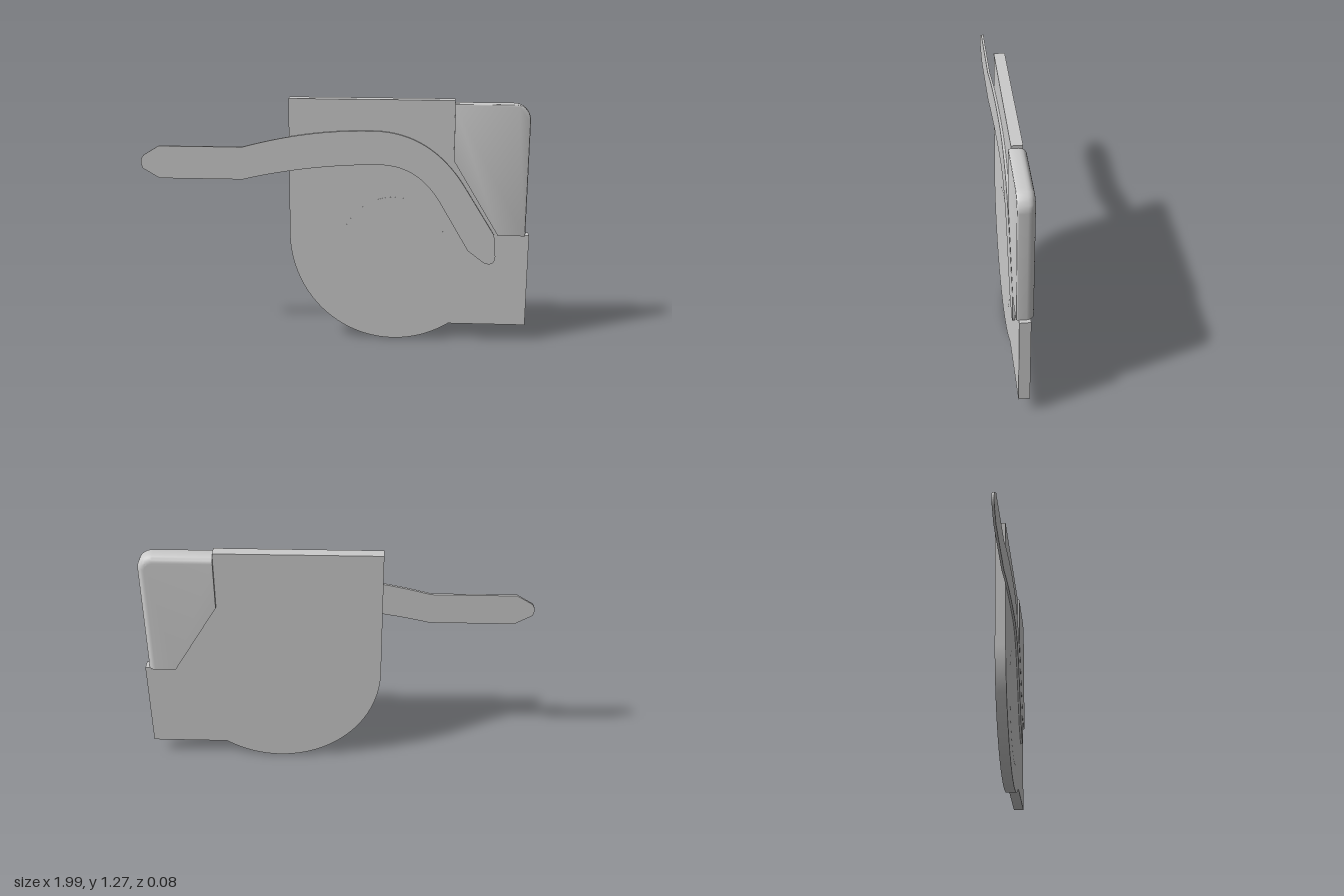
import * as THREE from 'three';
import { toCreasedNormals } from 'three/addons/utils/BufferGeometryUtils.js';
import { ConvexGeometry } from 'three/addons/geometries/ConvexGeometry.js';

const material = new THREE.MeshStandardMaterial({ color: 0xcccccc });

function addPart(group, name, geometry) {
  const mesh = new THREE.Mesh(toCreasedNormals(geometry, 0.6), material);
  mesh.name = name;
  group.add(mesh);
  return mesh;
}

// Flat plate of a given outline between two depths
function plate(shape, back, front) {
  const geometry = new THREE.ExtrudeGeometry(shape, {
    depth: front - back, bevelEnabled: false, curveSegments: 32,
  });
  return geometry.translate(0, 0, back);
}

// Housing: square top, round belly, notch for the corner cap
function housingShape() {
  const s = new THREE.Shape();
  s.moveTo(-0.23, 1.275);
  s.lineTo(-0.23, 0.57);
  s.absellipse(0.31, 0.57, 0.54, 0.57, Math.PI, Math.PI * 2 - 1.004, false, 0);
  s.lineTo(1, 0.09);
  s.lineTo(1, 0.58);
  s.lineTo(0.84, 0.58);
  s.lineTo(0.605, 0.97);
  s.lineTo(0.605, 1.275);
  s.closePath();
  return s;
}

// Strap: blunt tip, straight run, then an arch curling down to the right
function strapShape() {
  const s = new THREE.Shape();
  s.moveTo(-0.9, 0.855);
  s.lineTo(-0.47, 0.855);
  s.bezierCurveTo(-0.25, 0.91, 0.0, 0.94, 0.2, 0.942);
  s.bezierCurveTo(0.36, 0.95, 0.46, 0.88, 0.54, 0.75);
  s.lineTo(0.69, 0.495);
  s.lineTo(0.77, 0.434);
  s.bezierCurveTo(0.8, 0.415, 0.835, 0.425, 0.832, 0.47);
  s.lineTo(0.822, 0.58);
  s.lineTo(0.66, 0.84);
  s.bezierCurveTo(0.55, 1.01, 0.4, 1.115, 0.2, 1.116);
  s.bezierCurveTo(-0.05, 1.12, -0.27, 1.08, -0.47, 1.024);
  s.lineTo(-0.9, 1.024);
  s.lineTo(-0.98, 0.975);
  s.quadraticCurveTo(-1.005, 0.945, -0.985, 0.905);
  s.closePath();
  return s;
}

// Corner cap: top and right edges rounded over, more strongly at the back
function capGeometry() {
  const points = [];
  const section = (z, inset) => {
    points.push(
      new THREE.Vector3(0.605, 0.97, z),
      new THREE.Vector3(0.84, 0.58, z),
      new THREE.Vector3(0.98 - inset, 0.58, z),
      new THREE.Vector3(0.605, 1.26 - inset, z),
    );
    const r = 0.08 - inset;
    for (let i = 0; i <= 10; i++) {
      const a = (i / 10) * Math.PI / 2;
      points.push(new THREE.Vector3(0.9 + r * Math.cos(a), 1.18 + r * Math.sin(a), z));
    }
  };
  const roundOver = (zFace, dir, radius) => {
    for (let i = 0; i <= 6; i++) {
      const a = (i / 6) * Math.PI / 2;
      section(zFace - dir * radius * (1 - Math.cos(a)), radius * (1 - Math.sin(a)));
    }
  };
  roundOver(-0.042, -1, 0.036);
  roundOver(0.042, 1, 0.008);
  return new ConvexGeometry(points);
}

export function createModel() {
  const group = new THREE.Group();
  group.name = 'strapHousing';

  addPart(group, 'housing', plate(housingShape(), -0.025, 0.03));
  addPart(group, 'cornerCap', capGeometry());
  addPart(group, 'strap', plate(strapShape(), 0.03, 0.042));

  // Disc set nearly flush in the front face
  const disc = new THREE.Shape().absellipse(0.305, 0.455, 0.283, 0.317, 0, Math.PI * 2, false, 0);
  addPart(group, 'frontDisc', plate(disc, 0, 0.0305));

  return group;
}
